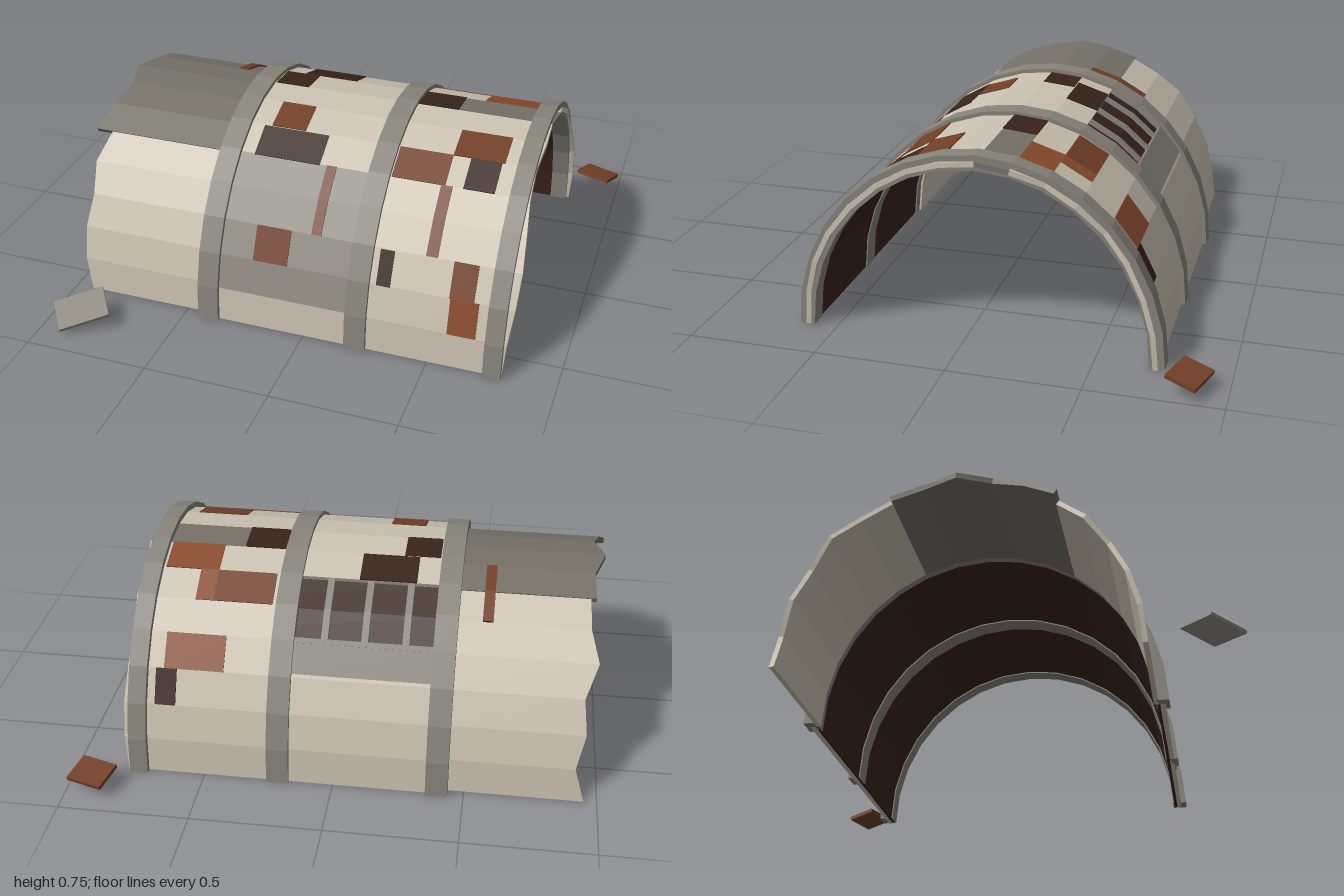
import * as THREE from 'three';

const SEGS = 16;
const CENTRE_Z = -0.055;
const BEIGE = 0xcbc3b2, GREY = 0x8f8b82, DARK = 0x757168, RIB = 0x87847b;
const BROWN = 0x733f26, RUST = 0x8a4c2d, SOOT = 0x38231a;

const materials = {};
function paint(color) {
  materials[color] ??= new THREE.MeshStandardMaterial({ color, flatShading: true });
  return materials[color];
}

// Point on the arch: step 0 is the front foot, step 16 the back foot
function archPoint(x, k, rz) {
  const a = (k / SEGS) * Math.PI;
  return [x, (rz + 0.045) * Math.sin(a), CENTRE_Z + rz * Math.cos(a)];
}

// Closed curved slab between steps k0 and k1; x0 and x1 are numbers or lists of ragged ends
function archSlab(name, color, x0, x1, k0, k1, outer, inner) {
  const at = (x, k) => (Array.isArray(x) ? x[k - k0] : x);
  const pos = [];
  const quad = (a, b, c, d) => pos.push(...a, ...b, ...c, ...a, ...c, ...d);
  const section = (k) => [
    archPoint(at(x0, k), k, outer), archPoint(at(x1, k), k, outer),
    archPoint(at(x1, k), k, inner), archPoint(at(x0, k), k, inner),
  ];
  for (let k = k0; k < k1; k++) {
    const p = section(k), q = section(k + 1);
    for (let i = 0; i < 4; i++) {
      const j = (i + 1) % 4;
      quad(p[i], p[j], q[j], q[i]);
    }
  }
  quad(...section(k0).reverse());
  quad(...section(k1));
  const geometry = new THREE.BufferGeometry();
  geometry.setAttribute('position', new THREE.Float32BufferAttribute(pos, 3));
  geometry.computeVertexNormals();
  const mesh = new THREE.Mesh(geometry, paint(color));
  mesh.name = name;
  return mesh;
}

function debris(name, color, size, position, rotation) {
  const mesh = new THREE.Mesh(new THREE.BoxGeometry(...size), paint(color));
  mesh.name = name;
  mesh.position.set(...position);
  mesh.rotation.set(...rotation, 'YZX');
  return mesh;
}

export function createModel() {
  const model = new THREE.Group();
  model.name = 'ruinedArchedHut';

  // Broken end bay with torn edges and an overlapping roof sheet
  model.add(
    archSlab('tornFrontWall', BEIGE, [-0.93, -0.95, -0.955, -0.94, -0.96, -0.93], -0.4, 0, 5, 0.655, 0.637),
    archSlab('tornRoofSheet', DARK, [-1, -0.97, -0.945, -0.985, -0.945, -0.95], -0.4, 5, 10, 0.659, 0.637),
    archSlab('tornBackWall', BEIGE, [-0.93, -0.935, -0.97, -0.925, -0.94, -0.91, -0.95], -0.4, 10, 16, 0.655, 0.637),
  );

  // Middle bay, left open at steps 10 to 12 for the window strip
  const middle = [
    [BEIGE, 0, 1], [GREY, 1, 5], [BEIGE, 5, 10], [BEIGE, 12, 16],
  ];
  for (const [color, k0, k1] of middle) {
    model.add(archSlab('middleBayPanel', color, -0.4, 0.21, k0, k1, 0.68, 0.66));
  }

  // Entrance bay, with slightly ragged sheet ends beyond the last rib
  const ends = [0.79, 0.8, 0.815, 0.82, 0.81, 0.795, 0.79, 0.8, 0.795, 0.805, 0.79, 0.8, 0.79, 0.8, 0.81, 0.81, 0.8];
  for (const [color, k0, k1] of [[BEIGE, 0, 8], [DARK, 8, 9], [BEIGE, 9, 16]]) {
    model.add(archSlab('entranceBayPanel', color, 0.21, ends.slice(k0, k1 + 1), k0, k1, 0.68, 0.66));
  }

  // Dark inner lining behind the two sound bays
  model.add(archSlab('innerLining', SOOT, -0.4, 0.78, 0, SEGS, 0.662, 0.65));

  // Structural ribs
  for (const [x0, x1, outer] of [[-0.44, -0.355, 0.696], [0.17, 0.255, 0.696], [0.72, 0.79, 0.703]]) {
    model.add(archSlab('rib', RIB, x0, x1, 0, SEGS, outer, 0.645));
  }

  // Window bars and sill
  for (const x of [-0.25, -0.095, 0.058]) {
    model.add(archSlab('windowBar', RIB, x - 0.013, x + 0.013, 10, 12, 0.676, 0.66));
  }
  model.add(archSlab('windowSill', RIB, -0.355, 0.17, 11.9, 12.05, 0.684, 0.66));

  // Rust and scorched patches: colour, x range, step range
  const patches = [
    [BROWN, -0.22, -0.08, 2, 3], [BROWN, 0, 0.04, 3, 5],
    [BROWN, -0.27, -0.13, 6, 7], [SOOT, -0.27, -0.05, 9, 10],
    [RUST, 0.57, 0.68, 1, 2], [BROWN, 0.565, 0.66, 2, 3],
    [BROWN, 0.455, 0.5, 3, 5], [BROWN, 0.26, 0.47, 5, 6],
    [SOOT, 0.54, 0.66, 5, 6], [BROWN, 0.47, 0.67, 6, 7],
    [SOOT, 0.255, 0.42, 8, 9], [RUST, 0.5, 0.71, 9, 10],
    [BROWN, 0.27, 0.5, 10, 11], [RUST, 0.5, 0.57, 10, 11],
    [RUST, 0.43, 0.66, 12, 13], [SOOT, 0.61, 0.69, 13, 14],
  ];
  for (const [color, x0, x1, k0, k1] of patches) {
    model.add(archSlab('patch', color, x0, x1, k0, k1, 0.684, 0.672));
  }
  model.add(archSlab('rustStrip', BROWN, -0.57, -0.53, 9, 11, 0.667, 0.65));

  // Thin dark cracks along the sheets
  for (const [x0, x1, k] of [[0.28, 0.335, 2], [-0.3, -0.03, 5], [-0.35, -0.21, 8]]) {
    model.add(archSlab('crack', SOOT, x0, x1, k - 0.03, k + 0.03, 0.682, 0.675));
  }

  // Loose sheets lying on the ground
  model.add(
    debris('looseGreySheet', GREY, [0.2, 0.012, 0.145], [-0.86, 0.062, 0.815], [0.28, 0.57, 0.2]),
    debris('looseRustySheet', BROWN, [0.15, 0.016, 0.12], [0.905, 0.064, -0.86], [-0.2, -0.32, -0.03]),
  );
  return model;
}
